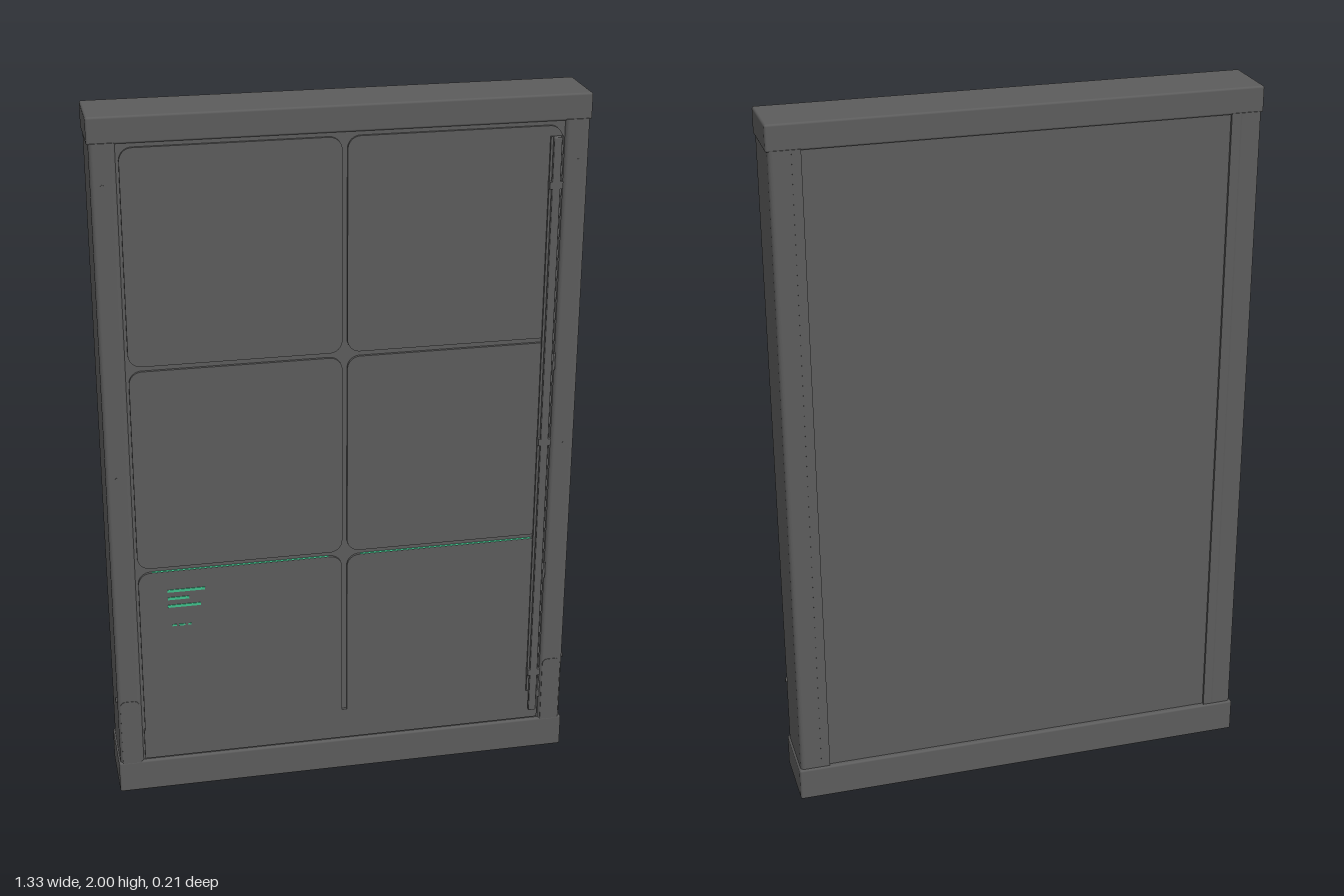
import * as THREE from 'three';
import { RoundedBoxGeometry } from 'three/addons/geometries/RoundedBoxGeometry.js';

const grey = new THREE.MeshStandardMaterial({ color: 0x5c5c5c });
grey.name = 'dark grey metal';
const green = new THREE.MeshStandardMaterial({ color: 0x3fbf8a });
green.name = 'green accent';

// Rectangle outline with a separate radius for the upper and lower corners
function roundedRect(x0, x1, y0, y1, rTop, rBottom = rTop) {
  const s = new THREE.Shape();
  s.moveTo(x0 + rBottom, y0);
  s.lineTo(x1 - rBottom, y0);
  if (rBottom) s.absarc(x1 - rBottom, y0 + rBottom, rBottom, -Math.PI / 2, 0);
  s.lineTo(x1, y1 - rTop);
  s.absarc(x1 - rTop, y1 - rTop, rTop, 0, Math.PI / 2);
  s.lineTo(x0 + rTop, y1);
  s.absarc(x0 + rTop, y1 - rTop, rTop, Math.PI / 2, Math.PI);
  s.lineTo(x0, y0 + rBottom);
  if (rBottom) s.absarc(x0 + rBottom, y0 + rBottom, rBottom, Math.PI, Math.PI * 1.5);
  return s;
}

export function createModel() {
  const root = new THREE.Group();
  root.name = 'cabinet';

  const add = (name, geometry, material = grey) => {
    const mesh = new THREE.Mesh(geometry, material);
    mesh.name = name;
    root.add(mesh);
    return mesh;
  };
  // Box given by its limits, with optionally softened edges
  const box = (name, x0, x1, y0, y1, z0, z1, material = grey, radius = 0) => {
    const size = [x1 - x0, y1 - y0, z1 - z0];
    const geometry = radius
      ? new RoundedBoxGeometry(...size, 2, radius)
      : new THREE.BoxGeometry(...size);
    const mesh = add(name, geometry, material);
    mesh.position.set((x0 + x1) / 2, (y0 + y1) / 2, (z0 + z1) / 2);
    return mesh;
  };

  // Base, top cap and inner body
  box('base', -0.665, 0.665, 0, 0.098, -0.107, 0.09, grey, 0.006);
  box('topCap', -0.665, 0.665, 1.928, 2, -0.099, 0.085, grey, 0.006);
  box('body', -0.6, 0.6, 0.09, 1.935, -0.093, 0.08);

  // Corner posts with rounded outer edges
  for (const side of [-1, 1]) {
    const profile = side > 0
      ? roundedRect(0.592, 0.66, -0.088, 0.101, 0.012)
      : roundedRect(-0.66, -0.592, -0.088, 0.101, 0.012);
    const post = add(side > 0 ? 'leftPost' : 'rightPost',
      new THREE.ExtrudeGeometry(profile, { depth: 1.84, bevelEnabled: false, curveSegments: 5 }));
    post.rotation.x = -Math.PI / 2;
    post.position.y = 0.092;

    // Back flange beside the recessed rear panel
    const inner = side * 0.575, outer = side * 0.6;
    box('backFlange', Math.min(inner, outer), Math.max(inner, outer), 0.092, 1.932, -0.101, -0.09);

    // Foot plate at the bottom of the post
    const plate = add('postFootPlate', new THREE.ExtrudeGeometry(
      roundedRect(-0.027, 0.027, 0.09, 0.3, 0.015, 0),
      { depth: 0.002, bevelEnabled: false, curveSegments: 4 }));
    plate.position.set(side * 0.626, 0, 0.0875);

    // Small side pin and post screws
    const pin = add('sidePin', new THREE.CylinderGeometry(0.007, 0.007, 0.006, 10));
    pin.rotation.z = Math.PI / 2;
    pin.position.set(side * 0.662, 0.3, 0.07);
    for (const y of [0.2, 1.0, 1.82]) {
      const screw = add('postScrew', new THREE.CylinderGeometry(0.005, 0.005, 0.003, 10));
      screw.rotation.x = Math.PI / 2;
      screw.position.set(side * 0.63, y, 0.088);
    }
  }

  // Front door: six panels, the lowest row square at the bottom
  const rows = [[1.322, 1.918, 0.035], [0.72, 1.308, 0.035], [0.2, 0.706, 0]];
  for (const [y0, y1, rBottom] of rows) {
    for (const [x0, x1] of [[-0.585, -0.007], [0.007, 0.585]]) {
      add('doorPanel', new THREE.ExtrudeGeometry(roundedRect(x0, x1, y0, y1, 0.035, rBottom),
        { depth: 0.01, bevelEnabled: false, curveSegments: 6 })).position.z = 0.078;
    }
  }
  box('kickPlate', -0.588, 0.588, 0.105, 0.2, 0.075, 0.088);

  // Green edge on top of the lowest panels
  for (const x of [-0.296, 0.296]) {
    box('greenSeam', x - 0.25, x + 0.25, 0.7055, 0.707, 0.08, 0.087, green);
  }

  // Green marking stripes and dots
  for (const [x1, y] of [[-0.4, 0.645], [-0.445, 0.621], [-0.413, 0.597]]) {
    box('greenStripe', -0.505, x1, y - 0.004, y + 0.004, 0.087, 0.09, green);
  }
  for (const [x0, x1] of [[-0.495, -0.482], [-0.476, -0.458], [-0.45, -0.441]]) {
    box('greenDot', x0, x1, 0.533, 0.538, 0.087, 0.09, green);
  }

  // Long vertical door handle on its backing rail
  box('handleRail', 0.551, 0.586, 0.2, 1.89, 0.085, 0.095);
  box('handleBar', 0.557, 0.579, 0.14, 1.89, 0.093, 0.107, grey, 0.003);
  for (const y of [0.27, 1.015, 1.76]) {
    box('handleBracket', 0.55, 0.586, y - 0.01, y + 0.01, 0.085, 0.107);
  }
  // Hinge knuckles along the door edge
  for (const y of [0.2, 0.6, 1.25]) {
    const hinge = add('hingeKnuckle', new THREE.CylinderGeometry(0.005, 0.005, 0.05, 10));
    hinge.position.set(0.589, y, 0.086);
  }
  return root;
}
